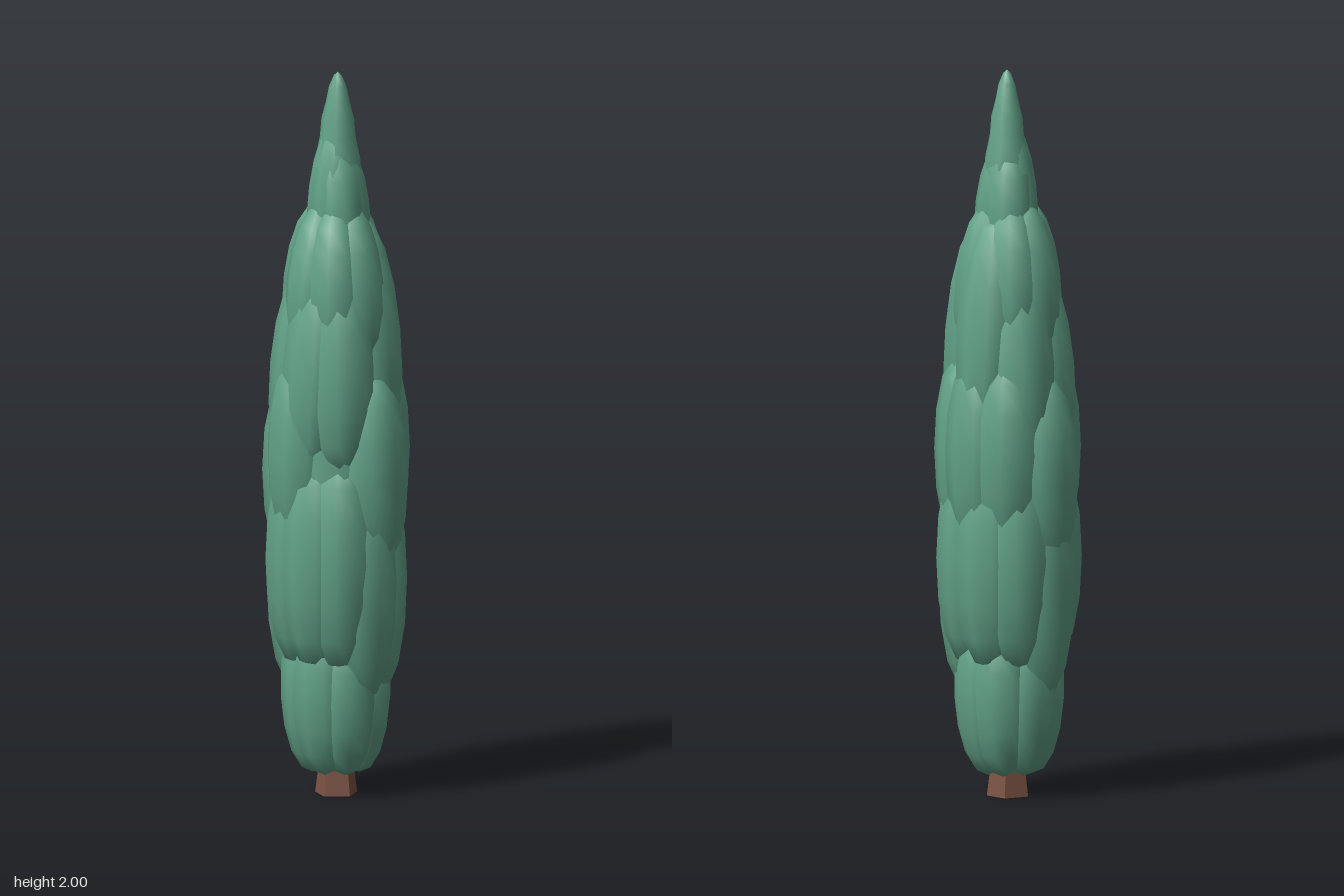
import * as THREE from 'three';

export function createModel() {
  const tree = new THREE.Group();
  tree.name = 'cypressTree';

  const green = new THREE.MeshStandardMaterial({ color: 0x62a288 });
  green.name = 'foliage green';
  const brown = new THREE.MeshStandardMaterial({ color: 0x7d5344 });
  brown.name = 'bark brown';

  function add(geometry, material, name) {
    const mesh = new THREE.Mesh(geometry, material);
    mesh.name = name;
    tree.add(mesh);
    return mesh;
  }

  // Solid of revolution from [radius, height] pairs
  function turned(profile, sides) {
    return new THREE.LatheGeometry(profile.map(([r, y]) => new THREE.Vector2(r, y)), sides);
  }

  // Short flared trunk
  const trunkGeometry = new THREE.CylinderGeometry(0.034, 0.06, 0.2, 5).toNonIndexed();
  trunkGeometry.computeVertexNormals();
  add(trunkGeometry, brown, 'trunk').position.y = 0.1;

  // Inner core that closes the gaps between the leaf clumps
  add(turned([[0, 0.07], [0.085, 0.09], [0.115, 0.25], [0.145, 0.5], [0.165, 0.8],
    [0.15, 1.1], [0.12, 1.35], [0.085, 1.55], [0, 1.85]], 12), green, 'foliageCore');

  // Unit leaf clump, with fuller ends than a plain ball
  const clumpGeometry = new THREE.SphereGeometry(1, 9, 8);
  const p = clumpGeometry.attributes.position;
  for (let v = 0; v < p.count; v++) {
    const fullness = 1 + 0.1 * p.getY(v) ** 2;
    p.setX(v, p.getX(v) * fullness);
    p.setZ(v, p.getZ(v) * fullness);
  }

  // One tier of clumps at the given bearings from the front, leaning along the outline
  function addTier(name, bottom, top, radius, width, lean, bearings) {
    bearings.forEach((bearing, i) => {
      const angle = THREE.MathUtils.degToRad(bearing);
      const clump = add(clumpGeometry, green, `${name}Clump${i + 1}`);
      const depth = width * 0.9;
      clump.scale.set(width, (top - bottom) / 2, depth);
      clump.position.set(Math.sin(angle) * (radius - depth), (bottom + top) / 2, Math.cos(angle) * (radius - depth));
      clump.rotation.set(lean, angle, 0, 'YXZ');
    });
  }

  addTier('skirt', 0.06, 0.49, 0.152, 0.085, 0.06, [-15, 42, 92, 140, 195, 242, 292]);
  addTier('lower', 0.27, 0.92, 0.198, 0.102, 0, [5, 40, 207]);
  addTier('lowerSide', 0.36, 0.96, 0.200, 0.102, 0, [-33, 78, 125, 165, 252, 290]);
  addTier('middle', 0.60, 1.18, 0.212, 0.108, 0, [18, 205]);
  addTier('middleSide', 0.67, 1.24, 0.203, 0.098, 0, [66, 110, 152, 262]);
  addTier('upper', 0.90, 1.48, 0.181, 0.095, -0.09, [-32, 172, 240, 285]);
  addTier('upperSide', 0.97, 1.60, 0.177, 0.091, -0.09, [48, 118]);
  addTier('shoulder', 1.21, 1.64, 0.149, 0.080, -0.13, [-42, 8, 82, 160, 207, 268]);
  addTier('neck', 1.46, 1.81, 0.090, 0.064, -0.13, [-15, 65, 150]);
  addTier('neckBack', 1.49, 1.86, 0.077, 0.058, -0.13, [100, 225, 290]);

  // Pointed crown with slight steps
  add(turned([[0.04, 1.6], [0.066, 1.68], [0.062, 1.76], [0.049, 1.82], [0.045, 1.87],
    [0.032, 1.92], [0.024, 1.96], [0.011, 1.99], [0, 2]], 8), green, 'crownTip').position.x = 0.005;

  return tree;
}
